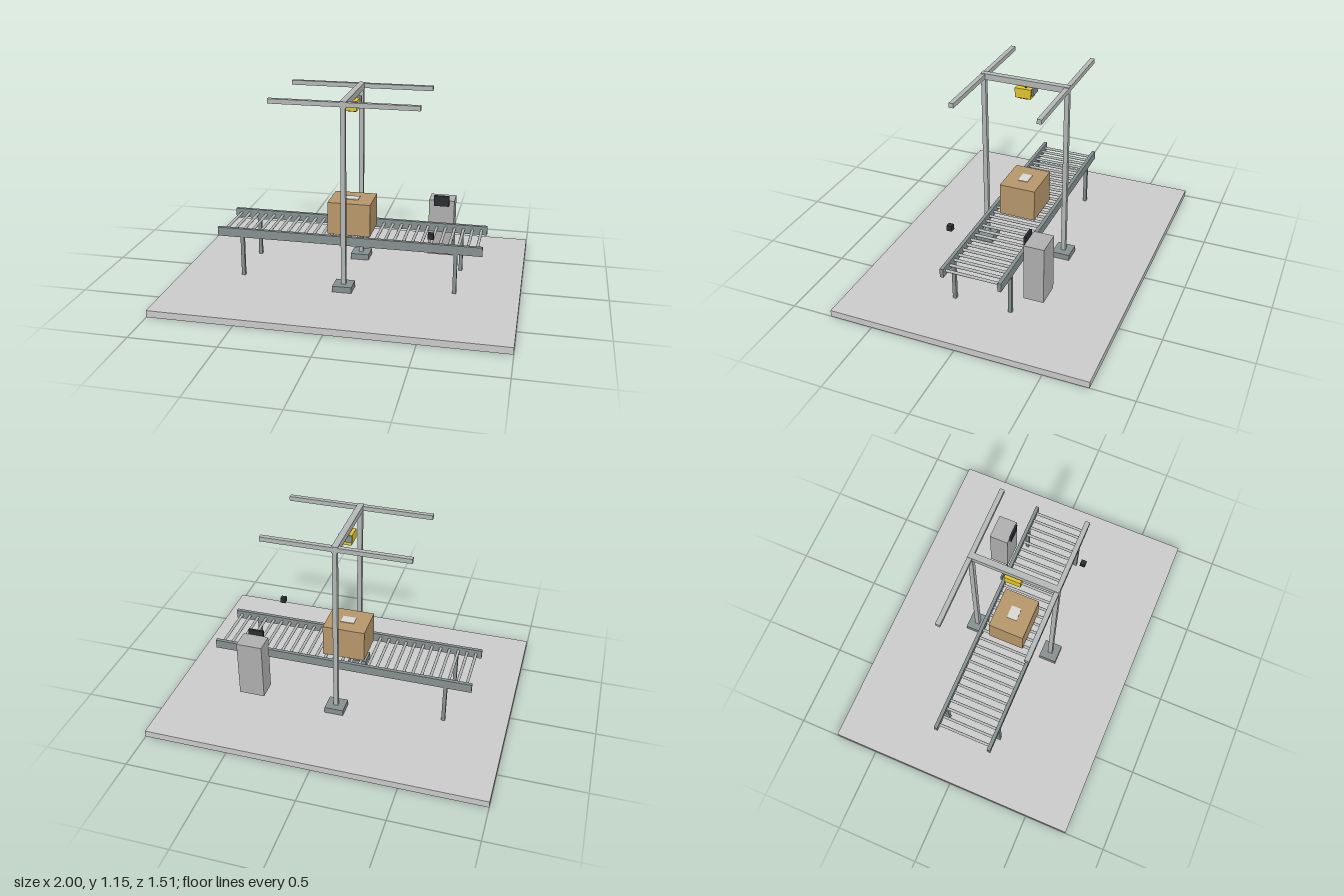
import * as THREE from 'three';

const mat = (color) => new THREE.MeshStandardMaterial({ color });

export function createModel() {
  const model = new THREE.Group();
  const steel = mat(0x879191), alloy = mat(0xb4b9b7), floor = mat(0xcccccc);
  const dark = mat(0x2b2e32), yellow = mat(0xe2c62c), card = mat(0xb8986c);
  const grey = mat(0xb0b0b0), paper = mat(0xd8dad2);

  // Box given by its min and max along each axis
  function box(name, material, [x0, x1], [y0, y1], [z0, z1], parent = model) {
    const mesh = new THREE.Mesh(new THREE.BoxGeometry(x1 - x0, y1 - y0, z1 - z0), material);
    mesh.position.set((x0 + x1) / 2, (y0 + y1) / 2, (z0 + z1) / 2);
    mesh.name = name;
    parent.add(mesh);
    return mesh;
  }
  const around = (c, size) => [c - size / 2, c + size / 2];
  const group = (name) => {
    const g = new THREE.Group();
    g.name = name;
    model.add(g);
    return g;
  };

  box('floorSlab', floor, [-1, 1], [0, 0.04], [-0.757, 0.757]);

  // Roller conveyor: side rails, legs and rollers
  const conveyor = group('conveyor');
  for (const s of [-1, 1]) {
    box('sideRail', steel, [-0.78, 0.78], [0.28, 0.333], around(s * 0.169, 0.021), conveyor);
    for (const x of [-0.63, 0.63]) {
      box('conveyorLeg', steel, around(x, 0.021), [0.04, 0.28], around(s * 0.169, 0.021), conveyor);
    }
  }
  const rollerGeometry = new THREE.CylinderGeometry(0.0085, 0.0085, 0.32, 16).rotateX(Math.PI / 2);
  const rollerCount = 29;
  for (let i = 0; i < rollerCount; i++) {
    const roller = new THREE.Mesh(rollerGeometry, alloy);
    roller.name = 'roller';
    roller.position.set(-0.746 + (1.492 * i) / (rollerCount - 1), 0.306, 0);
    conveyor.add(roller);
  }

  // Gantry: feet, posts, long top bars and the cross beam
  const gantry = group('gantry');
  for (const s of [-1, 1]) {
    const z = s * 0.25;
    box('postFoot', steel, around(0, 0.112), [0.04, 0.076], around(z, 0.107), gantry);
    box('post', alloy, around(0, 0.027), [0.076, 1.12], around(z, 0.027), gantry);
    box('topBar', alloy, [-0.425, 0.425], [1.119, 1.146], around(z, 0.027), gantry);
  }
  box('crossBeam', alloy, around(0, 0.036), [1.114, 1.15], [-0.263, 0.263], gantry);

  // Overhead scanner hanging from the cross beam
  const scanner = group('scanner');
  box('scannerBody', yellow, around(0, 0.064), [1.046, 1.103], [-0.046, 0.05], scanner);
  box('scannerWindow', dark, around(0, 0.046), [1.039, 1.046], [-0.026, 0.03], scanner);
  box('scannerMount', dark, around(0, 0.022), [1.103, 1.115], [-0.012, -0.003], scanner);
  box('scannerBracket', steel, around(0, 0.078), [1.072, 1.114], [-0.062, -0.052], scanner);

  // Parcel with its label
  const parcel = group('parcel');
  box('carton', card, around(-0.002, 0.252), [0.318, 0.512], around(0.001, 0.216), parcel);
  box('label', paper, around(-0.002, 0.08), [0.512, 0.516], around(0.001, 0.06), parcel);

  // Control cabinet with its screen
  const cabinet = group('controlCabinet');
  box('cabinetBody', grey, [0.421, 0.573], [0.107, 0.456], [-0.341, -0.224], cabinet);
  box('screen', dark, [0.452, 0.543], [0.424, 0.488], [-0.224, -0.21], cabinet);

  // Small sensor block beside the conveyor
  box('sensor', dark, around(0.497, 0.032), around(0.41, 0.032), around(0.25, 0.032));

  return model;
}
